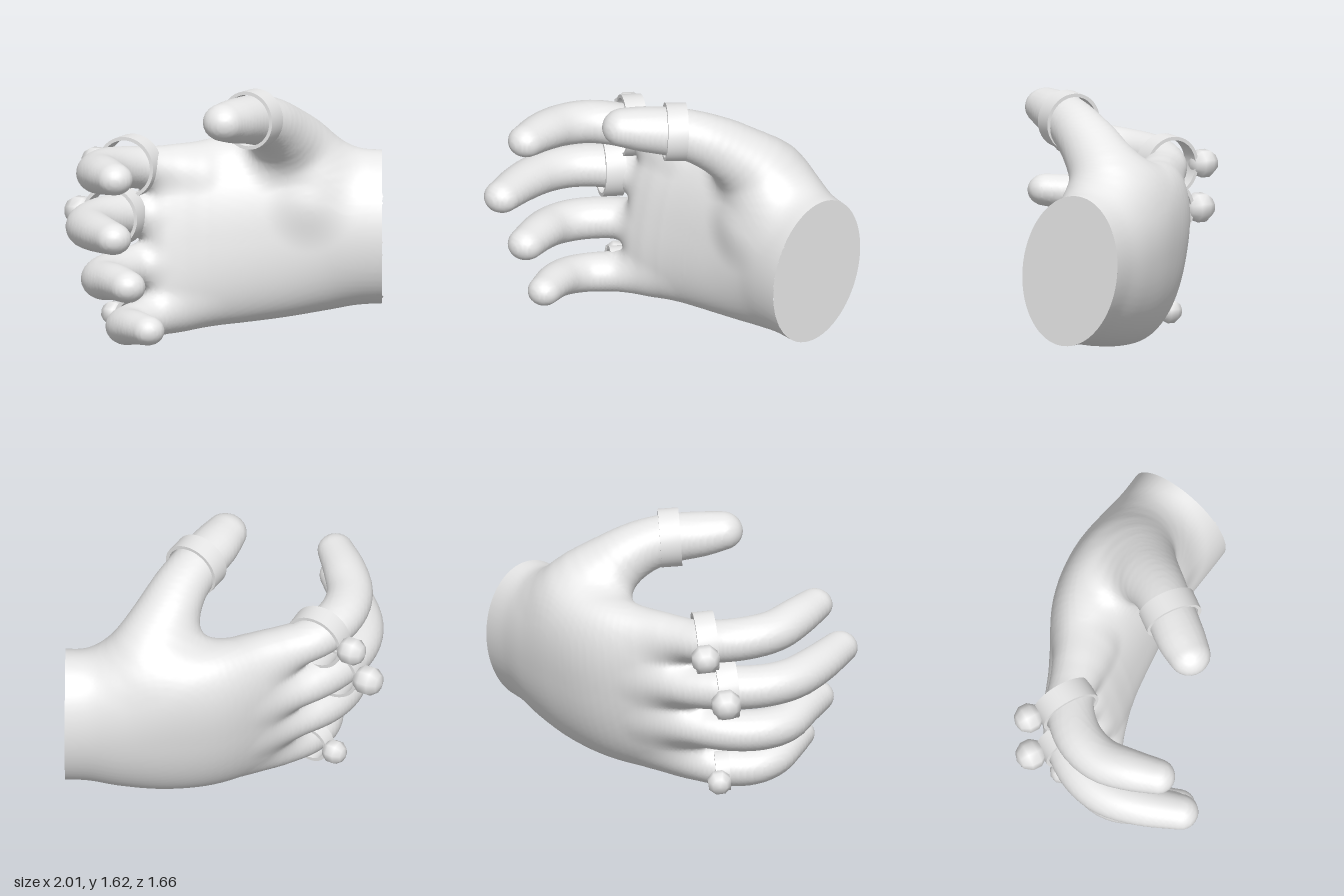
import * as THREE from 'three';
import { toCreasedNormals } from 'three/addons/utils/BufferGeometryUtils.js';

const grey = new THREE.MeshStandardMaterial({ color: 0xe7e7e7 });
grey.name = 'plain grey';
const CELL = 0.02, WRIST_X = 0.985;
const WRIST = { y: 0.62, z: -0.465, height: 0.48, width: 0.345 };

function part(name, geometry) {
  const mesh = new THREE.Mesh(geometry, grey);
  mesh.name = name;
  return mesh;
}

// Distance to a chain of sections [x, y, z, halfHeight, halfWidth] joined by a curve.
// followY is 0 when the sections stand upright, as in the palm.
function chain(sections, followY, steps, shape) {
  const path = new THREE.CatmullRomCurve3(sections.map(s => new THREE.Vector3(s[0], s[1], s[2])));
  const sizes = new THREE.CatmullRomCurve3(
    sections.map(s => new THREE.Vector3(s[3], s[4], 0)), false, 'catmullrom', 0.5);
  const count = (sections.length - 1) * steps;
  const centres = path.getPoints(count), radii = sizes.getPoints(count);
  const reach = new THREE.Box3().setFromPoints(centres)
    .expandByScalar(0.2 + Math.max(...sections.map(s => Math.max(s[3], s[4]))));
  const point = new THREE.Vector3();
  return (x, y, z) => {
    if (!reach.containsPoint(point.set(x, y, z))) return 1;
    let best = 1;
    for (let i = 0; i < count; i++) {
      const a = centres[i], b = centres[i + 1], ra = radii[i], rb = radii[i + 1];
      const ex = b.x - a.x, ey = b.y - a.y, ez = b.z - a.z;
      const dot = (x - a.x) * ex + (y - a.y) * ey * followY + (z - a.z) * ez;
      const t = Math.min(1, Math.max(0, dot / (ex * ex + ey * ey * followY + ez * ez)));
      best = Math.min(best, shape(x - a.x - ex * t, y - a.y - ey * t, z - a.z - ez * t,
        ra.x + (rb.x - ra.x) * t, ra.y + (rb.y - ra.y) * t));
    }
    return best;
  };
}

// Section shapes: nearly round for thumb and fingers; an oval wrist growing into a boxier palm
const roundShape = (dx, dy, dz, h, w) => Math.sqrt(dx * dx + (dy * w / h) ** 2 + dz * dz) - w;
const palmShape = (dx, dy, dz, h, w) => {
  const power = 2 + 3.5 * Math.max(0, h - WRIST.height);
  const u = Math.abs(dy) / h, v = Math.sqrt(dx * dx + dz * dz) / w;
  const q = Math.pow(Math.pow(u, power) + Math.pow(v, power), 1 / power);
  return (q - 1) * q / Math.sqrt((u / h) ** 2 + (v / w) ** 2 + 1e-9);
};

// The little-finger side leans forward, more so towards the knuckles
const lean = (x, y) => (0.17 - 0.08 * x) * (y - 0.6);

function blend(a, b, k) {
  const h = Math.max(k - Math.abs(a - b), 0) / k;
  return Math.min(a, b) - h * h * k / 4;
}

// Skins the zero level of a field with one vertex per crossed grid cell
function skin(field, min, max) {
  const size = [0, 1, 2].map(i => Math.round((max[i] - min[i]) / CELL) + 1);
  const stride = [1, size[0], size[0] * size[1]];
  const values = new Float32Array(size[0] * size[1] * size[2]);
  const ids = new Int32Array(values.length);
  const at = (i, axis) => min[axis] + i * CELL;
  const each = (margin, visit) => {
    for (let k = margin; k < size[2] - margin; k++)
      for (let j = margin; j < size[1] - margin; j++)
        for (let i = margin; i < size[0] - margin; i++)
          visit(i, j, k, i + j * stride[1] + k * stride[2]);
  };
  each(0, (i, j, k, n) => { values[n] = field(at(i, 0), at(j, 1), at(k, 2)); });

  const positions = [], index = [];
  each(1, (i, j, k, n) => {
    const sum = [0, 0, 0];
    let hits = 0;
    for (let corner = 0; corner < 8; corner++) {
      const o = [corner & 1, (corner >> 1) & 1, corner >> 2];
      const m = n + o[0] + o[1] * stride[1] + o[2] * stride[2];
      for (let axis = 0; axis < 3; axis++) {
        if (o[axis]) continue;
        const v0 = values[m], v1 = values[m + stride[axis]];
        if ((v0 < 0) === (v1 < 0)) continue;
        o.forEach((c, d) => { sum[d] += c + (d === axis ? v0 / (v0 - v1) : 0); });
        hits++;
      }
    }
    if (!hits) return;
    ids[n] = positions.length / 3;
    positions.push(at(i + sum[0] / hits, 0), at(j + sum[1] / hits, 1), at(k + sum[2] / hits, 2));
    for (let axis = 0; axis < 3; axis++) {
      const inside = values[n] < 0;
      if (inside === (values[n + stride[axis]] < 0)) continue;
      const b = stride[(axis + 1) % 3], c = stride[(axis + 2) % 3];
      const q = [ids[n - b - c], ids[n - c], ids[n], ids[n - b]];
      if (!inside) q.reverse();
      index.push(q[0], q[1], q[2], q[0], q[2], q[3]);
    }
  });
  const geometry = new THREE.BufferGeometry();
  geometry.setAttribute('position', new THREE.Float32BufferAttribute(positions, 3));
  geometry.setIndex(index);
  return toCreasedNormals(geometry, 0.9);
}

// Flat oval closing the wrist
function wristCap() {
  const outline = [];
  for (let i = 0; i < 72; i++) {
    const a = (i / 72) * Math.PI * 2;
    const y = WRIST.y + WRIST.height * Math.sin(a);
    const z = WRIST.z - WRIST.width * Math.cos(a) - lean(WRIST_X, y);
    outline.push(new THREE.Vector2(-z, y));
  }
  return new THREE.ShapeGeometry(new THREE.Shape(outline))
    .rotateY(Math.PI / 2).translate(WRIST_X, 0, 0);
}

// Finger ring: a flat band around an axis, with an optional gem on the back
function fingerRing(name, centre, axis, radius, width, gemSize) {
  const group = new THREE.Group();
  group.name = name;
  const dir = new THREE.Vector3(...axis).normalize();
  const h = width / 2, inner = radius - 0.022;
  const profile = [[radius, -h], [radius, h], [inner, h], [inner, -h], [radius, -h]]
    .map(p => new THREE.Vector2(...p));
  const band = part('band', toCreasedNormals(new THREE.LatheGeometry(profile, 40), 0.6));
  band.quaternion.setFromUnitVectors(new THREE.Vector3(0, 1, 0), dir);
  group.add(band);
  if (gemSize) {
    const outward = new THREE.Vector3(-dir.z, 0, dir.x).normalize();
    const gem = part('gem', new THREE.SphereGeometry(gemSize, 8, 5));
    gem.position.copy(outward).multiplyScalar(radius + gemSize * 0.6).addScaledVector(dir, -0.03);
    gem.quaternion.setFromUnitVectors(new THREE.Vector3(0, 1, 0), outward);
    group.add(gem);
  }
  group.position.set(...centre);
  return group;
}

export function createModel() {
  // Wrist, palm and knuckles
  const upright = chain([
    [1.10, WRIST.y, WRIST.z, WRIST.height, WRIST.width],
    [0.97, WRIST.y, WRIST.z, WRIST.height, WRIST.width],
    [0.80, 0.62, -0.47, 0.49, 0.34],
    [0.60, 0.62, -0.485, 0.525, 0.335],
    [0.35, 0.635, -0.475, 0.575, 0.33],
    [0.10, 0.62, -0.43, 0.58, 0.31],
    [-0.15, 0.605, -0.335, 0.57, 0.25],
    [-0.28, 0.60, -0.265, 0.565, 0.2],
    [-0.36, 0.60, -0.215, 0.54, 0.155],
  ], 0, 6, palmShape);
  const palm = (x, y, z) => upright(x, y, z + lean(x, y));

  // Thumb, flaring into the heel of the palm
  const thumb = chain([
    [0.53, 0.82, -0.36, 0.18, 0.18], [0.55, 0.96, -0.42, 0.2, 0.215],
    [0.47, 1.11, -0.43, 0.215, 0.23], [0.36, 1.26, -0.29, 0.19, 0.205],
    [0.27, 1.37, -0.13, 0.168, 0.175], [0.17, 1.43, 0.02, 0.155, 0.16],
    [0.06, 1.46, 0.18, 0.14, 0.155], [-0.01, 1.48, 0.295, 0.12, 0.135],
  ], 1, 4, roundShape);

  // Fingers: centre line [x, y, z] and half width, from inside the palm to the tip
  const fingers = [
    // index
    [[-0.20, 1.00, -0.36, 0.14], [-0.42, 1.04, -0.30, 0.145], [-0.61, 1.07, -0.20, 0.15],
      [-0.75, 1.10, -0.03, 0.15], [-0.795, 1.12, 0.16, 0.145], [-0.76, 1.15, 0.35, 0.135],
      [-0.70, 1.17, 0.53, 0.115]],
    // middle
    [[-0.20, 0.74, -0.40, 0.15], [-0.48, 0.75, -0.30, 0.155], [-0.71, 0.77, -0.13, 0.155],
      [-0.83, 0.78, 0.06, 0.15], [-0.86, 0.79, 0.25, 0.145], [-0.81, 0.81, 0.47, 0.135],
      [-0.71, 0.83, 0.715, 0.115]],
    // ring
    [[-0.20, 0.46, -0.36, 0.14], [-0.45, 0.45, -0.24, 0.145], [-0.65, 0.44, -0.08, 0.145],
      [-0.75, 0.44, 0.09, 0.145], [-0.765, 0.45, 0.25, 0.14], [-0.70, 0.48, 0.42, 0.13],
      [-0.62, 0.49, 0.595, 0.115]],
    // little
    [[-0.16, 0.19, -0.25, 0.12], [-0.36, 0.155, -0.15, 0.135], [-0.52, 0.13, -0.02, 0.14],
      [-0.61, 0.13, 0.12, 0.135], [-0.62, 0.15, 0.26, 0.13], [-0.57, 0.18, 0.40, 0.12],
      [-0.49, 0.195, 0.55, 0.105]],
  ].map(line => chain(line.map(([x, y, z, w]) => [x, y, z, w * 0.88, w]), 1, 4, roundShape));

  // Each digit melts into the palm, but not into its neighbours
  const field = (x, y, z) => {
    const p = palm(x, y, z);
    let d = blend(p, thumb(x, y, z), 0.18);
    for (const finger of fingers) d = Math.min(d, blend(p, finger(x, y, z), 0.1));
    return d;
  };

  const model = new THREE.Group();
  model.name = 'hand';
  model.add(
    part('skin', skin(field, [-1.085, -0.06, -0.9], [WRIST_X + CELL / 2, 1.7, 0.9])),
    part('wristCap', wristCap()),
    fingerRing('thumbRing', [0.17, 1.435, 0.025], [-0.53, 0.06, 0.85], 0.185, 0.13),
    fingerRing('indexRing', [-0.60, 1.07, -0.235], [-0.45, 0.05, 0.89], 0.195, 0.13, 0.095),
    fingerRing('middleRing', [-0.70, 0.77, -0.145], [-0.45, 0.05, 0.89], 0.195, 0.13, 0.1),
    fingerRing('littleRing', [-0.565, 0.13, -0.08], [-0.5, 0.05, 0.86], 0.128, 0.09, 0.08),
  );
  return model;
}
